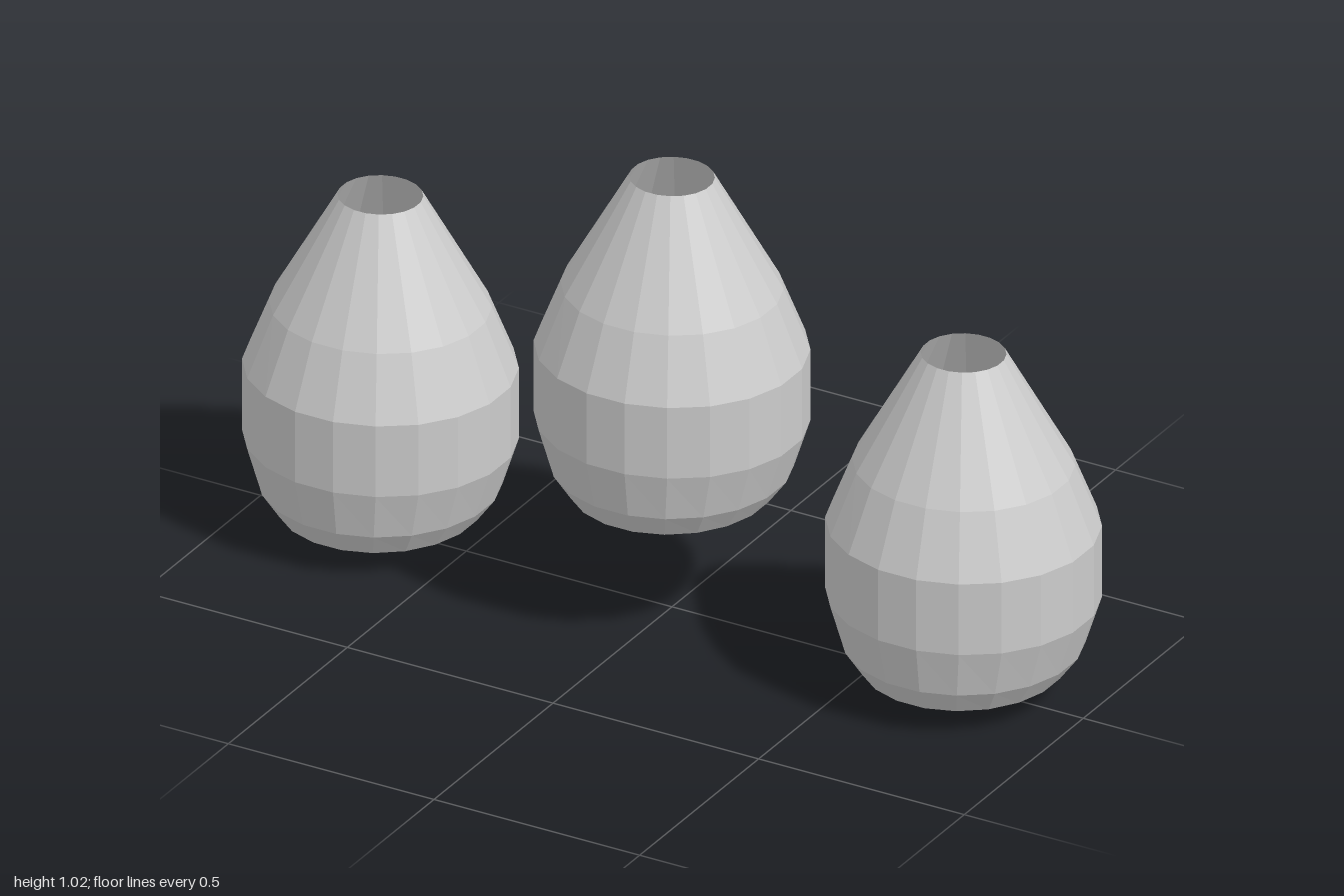
import * as THREE from 'three';

const SIDES = 20;

// Rings of one vase from the base up: [height, half width in x, half depth in z]
const RINGS = [
  [0, 0.09, 0.103],
  [0.058, 0.214, 0.223],
  [0.113, 0.254, 0.255],
  [0.224, 0.291, 0.279],
  [0.392, 0.291, 0.279],
  [0.535, 0.235, 0.224],
  [0.793, 0.09, 0.087],
];

function vaseGeometry() {
  // Closed base, open mouth
  const profile = [new THREE.Vector2(0, 0), ...RINGS.map(([y]) => new THREE.Vector2(1, y))];
  const step = (Math.PI * 2) / SIDES;
  const geometry = new THREE.LatheGeometry(profile, SIDES, step / 2);

  // Stretch every ring to its own oval; flat facets face the four axes
  const pos = geometry.attributes.position;
  const fit = 1 / Math.cos(step / 2);
  for (let i = 0; i < pos.count; i++) {
    const ring = (i % profile.length) - 1;
    if (ring < 0) continue;
    const [, rx, rz] = RINGS[ring];
    pos.setX(i, pos.getX(i) * rx * fit);
    pos.setZ(i, pos.getZ(i) * rz * fit);
  }
  geometry.computeVertexNormals();
  return geometry;
}

export function createModel() {
  const group = new THREE.Group();
  group.name = 'vases';

  const clay = new THREE.MeshStandardMaterial({
    color: 0xcccccc, flatShading: true, side: THREE.DoubleSide,
  });
  clay.name = 'grey clay';

  // Three equal vases, the middle one raised
  const geometry = vaseGeometry();
  const places = [
    ['rightVase', -0.709, 0],
    ['middleVase', 0, 0.232],
    ['leftVase', 0.709, 0],
  ];
  for (const [name, x, y] of places) {
    const vase = new THREE.Mesh(geometry, clay);
    vase.name = name;
    vase.position.set(x, y, 0);
    group.add(vase);
  }
  return group;
}
